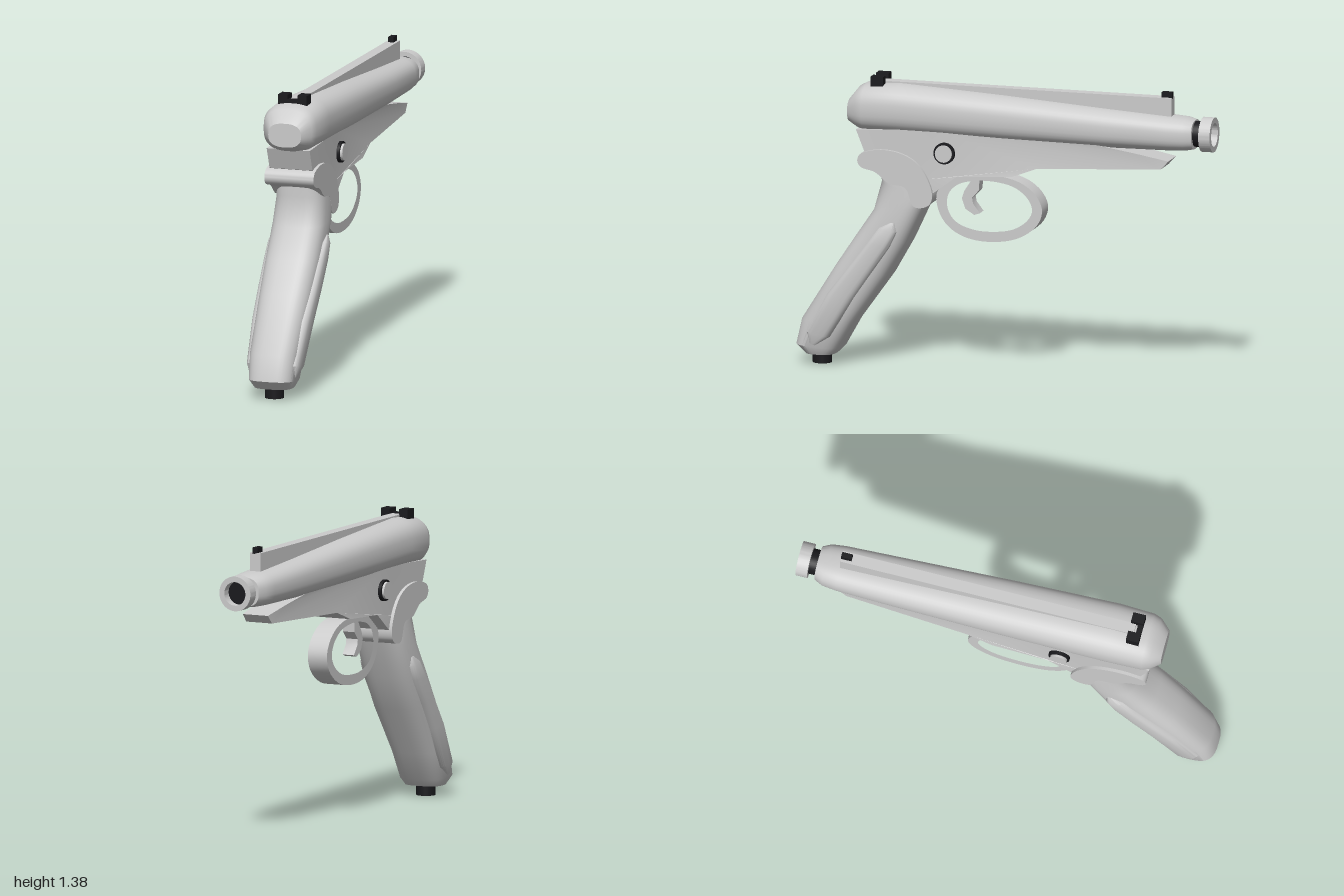
import * as THREE from 'three';
import { toCreasedNormals } from 'three/addons/utils/BufferGeometryUtils.js';

const grey = new THREE.MeshStandardMaterial({ color: 0xcccccc });
const black = new THREE.MeshStandardMaterial({ color: 0x1a1a1d });

// Skin of superellipse rings; each section is [z1, y1, z2, y2, halfWidth]
function loft(sections, power, crease = 0.6, sides = 40) {
  const pos = [], idx = [];
  const bend = v => Math.sign(v) * Math.abs(v) ** (2 / power);
  for (const [z1, y1, z2, y2, w] of sections) {
    for (let j = 0; j < sides; j++) {
      const t = (j / sides) * Math.PI * 2, c = bend(Math.cos(t)) / 2, s = bend(Math.sin(t));
      pos.push(w * s, (y1 + y2) / 2 + (y2 - y1) * c, (z1 + z2) / 2 + (z2 - z1) * c);
    }
  }
  const last = (sections.length - 1) * sides;
  for (let i = 0; i < last; i += sides) {
    for (let j = 0; j < sides; j++) {
      const k = (j + 1) % sides;
      idx.push(i + j, i + k, i + sides + k, i + j, i + sides + k, i + sides + j);
    }
  }
  for (let j = 1; j < sides - 1; j++) idx.push(0, j + 1, j, last, last + j, last + j + 1);
  const geo = new THREE.BufferGeometry();
  geo.setAttribute('position', new THREE.Float32BufferAttribute(pos, 3));
  geo.setIndex(idx);
  return toCreasedNormals(geo, crease);
}

// Rounds a closed outline of [z, y] points
function rounded(points, n = 64) {
  const curve = new THREE.CatmullRomCurve3(points.map(([z, y]) => new THREE.Vector3(z, y, 0)), true);
  return curve.getPoints(n).slice(0, n).map(p => [p.x, p.y]);
}

// Side outline of [z, y] points extruded across x
function slab(points, halfWidth, hole) {
  const toV = list => list.map(([z, y]) => new THREE.Vector2(z, y));
  const shape = new THREE.Shape(toV(points));
  if (hole) shape.holes.push(new THREE.Path(toV(hole)));
  const geo = new THREE.ExtrudeGeometry(shape, { depth: halfWidth * 2, bevelEnabled: false });
  geo.rotateY(-Math.PI / 2).translate(halfWidth, 0, 0);
  return toCreasedNormals(geo, 0.5);
}

export function createModel() {
  const model = new THREE.Group();
  const add = (name, geo, material = grey, x = 0, y = 0, z = 0) => {
    const mesh = new THREE.Mesh(geo, material);
    mesh.name = name;
    mesh.position.set(x, y, z);
    model.add(mesh);
    return mesh;
  };
  const box = (name, w, h, d, x, y, z) => add(name, new THREE.BoxGeometry(w, h, d), black, x, y, z);

  // Tapered upper body: [z, bottom, top, halfWidth]
  const body = [
    [0.745, 1.15, 1.262, 0.08], [0.70, 1.125, 1.318, 0.118], [0.665, 1.113, 1.335, 0.13],
    [0.5, 1.112, 1.345, 0.135], [0, 1.105, 1.317, 0.127], [-0.5, 1.102, 1.283, 0.114],
    [-0.8, 1.105, 1.265, 0.105], [-0.87, 1.108, 1.26, 0.097], [-0.91, 1.115, 1.25, 0.077],
  ];
  add('upperBody', loft(body.map(([z, b, t, w]) => [z, b, z, t, w]), 2.6));

  // Muzzle neck, ring and bore
  add('muzzleNeck', new THREE.CylinderGeometry(0.06, 0.06, 0.06, 40).rotateX(Math.PI / 2), black, 0, 1.185, -0.927);
  const ring = new THREE.Shape().absarc(0, 0, 0.081, 0, Math.PI * 2);
  ring.holes.push(new THREE.Path().absarc(0, 0, 0.055, 0, Math.PI * 2, true));
  const ringGeo = new THREE.ExtrudeGeometry(ring, { depth: 0.055, bevelEnabled: false, curveSegments: 40 });
  add('muzzleRing', toCreasedNormals(ringGeo, 0.5), grey, 0, 1.185, -1);

  // Sight rib and sights
  add('sightRib', slab([[0.6, 1.3], [-0.8, 1.22], [-0.8, 1.35], [0.6, 1.35]], 0.027));
  box('frontSight', 0.026, 0.03, 0.05, 0, 1.36, -0.775);
  box('rearSightBase', 0.14, 0.025, 0.025, 0, 1.342, 0.622);
  for (const s of [-1, 1]) box('rearSightPost', 0.046, 0.05, 0.06, s * 0.047, 1.35, 0.605);

  // Lower frame, narrowing towards its tip
  const frame = slab([
    [0.695, 1.13], [0.655, 1.03], [0.45, 0.9], [0.33, 0.845], [0.21, 0.935], [-0.055, 0.95],
    [-0.175, 0.995], [-0.76, 1.02], [-0.797, 1.06], [-0.64, 1.09], [-0.4, 1.13], [0.3, 1.15],
  ], 0.105);
  const p = frame.attributes.position;
  for (let i = 0; i < p.count; i++) {
    const t = Math.max(0, -0.05 - p.getZ(i)) / 0.75;
    p.setX(i, p.getX(i) * (1 - 0.38 * t));
  }
  add('frame', toCreasedNormals(frame, 0.5));

  // Cross pin with dark collar
  const pin = (name, r, half, mat) =>
    add(name, new THREE.CylinderGeometry(r, r, half * 2, 40).rotateZ(Math.PI / 2), mat, 0, 1.043, 0.268);
  pin('pinCollar', 0.05, 0.119, black);
  pin('crossPin', 0.04, 0.13, grey);

  // Curved tang over the top of the grip
  add('tang', slab(rounded([
    [0.684, 0.984], [0.673, 1.016], [0.614, 1.038], [0.544, 1.043], [0.464, 1.027],
    [0.4, 0.99], [0.351, 0.925], [0.324, 0.845], [0.335, 0.8], [0.373, 0.78],
    [0.416, 0.786], [0.453, 0.87], [0.534, 0.887], [0.598, 0.936], [0.668, 0.957],
  ]), 0.12));

  // Slanted grip, foot to top: front edge, back edge, half width
  add('grip', loft([
    [0.812, 0.05, 0.957, 0.05, 0.09], [0.78, 0.083, 1.0, 0.094, 0.11],
    [0.705, 0.217, 0.973, 0.212, 0.117], [0.544, 0.442, 0.812, 0.47, 0.126],
    [0.453, 0.603, 0.716, 0.614, 0.129], [0.373, 0.775, 0.625, 0.748, 0.127],
    [0.35, 0.83, 0.587, 0.887, 0.12], [0.37, 0.9, 0.6, 0.947, 0.117],
    [0.41, 0.97, 0.587, 1.0, 0.11],
  ], 3));

  // Raised panels, one skin showing on both sides of the grip
  add('gripPanels', loft([
    [0.882, 0.094, 0.925, 0.11, 0.112], [0.807, 0.142, 0.941, 0.164, 0.13],
    [0.689, 0.335, 0.839, 0.351, 0.14], [0.592, 0.475, 0.743, 0.475, 0.145],
    [0.517, 0.587, 0.646, 0.603, 0.147], [0.485, 0.657, 0.587, 0.678, 0.145],
    [0.496, 0.7, 0.528, 0.705, 0.132],
  ], 4));
  add('gripCap', new THREE.CylinderGeometry(0.045, 0.045, 0.07, 32), black, 0, 0.035, 0.887);

  // Trigger guard and trigger
  const outer = rounded([
    [0.32, 0.845], [0.315, 0.765], [0.27, 0.69], [0.185, 0.64], [0.06, 0.625], [-0.07, 0.65], [-0.16, 0.715],
    [-0.185, 0.785], [-0.16, 0.85], [-0.095, 0.905], [0, 0.935], [0.14, 0.938], [0.25, 0.915],
  ]);
  const inner = rounded([
    [0.265, 0.84], [0.27, 0.775], [0.235, 0.715], [0.155, 0.68], [0.06, 0.673], [-0.045, 0.69], [-0.115, 0.737],
    [-0.137, 0.785], [-0.115, 0.84], [-0.055, 0.887], [0.025, 0.908], [0.13, 0.91], [0.22, 0.887],
  ]);
  add('triggerGuard', slab(outer, 0.05, inner));
  add('trigger', slab([
    [0.165, 0.95], [0.12, 0.95], [0.125, 0.86], [0.158, 0.823], [0.153, 0.796], [0.12, 0.753],
    [0.147, 0.743], [0.19, 0.77], [0.207, 0.818], [0.195, 0.855], [0.165, 0.9],
  ], 0.03));

  return model;
}
